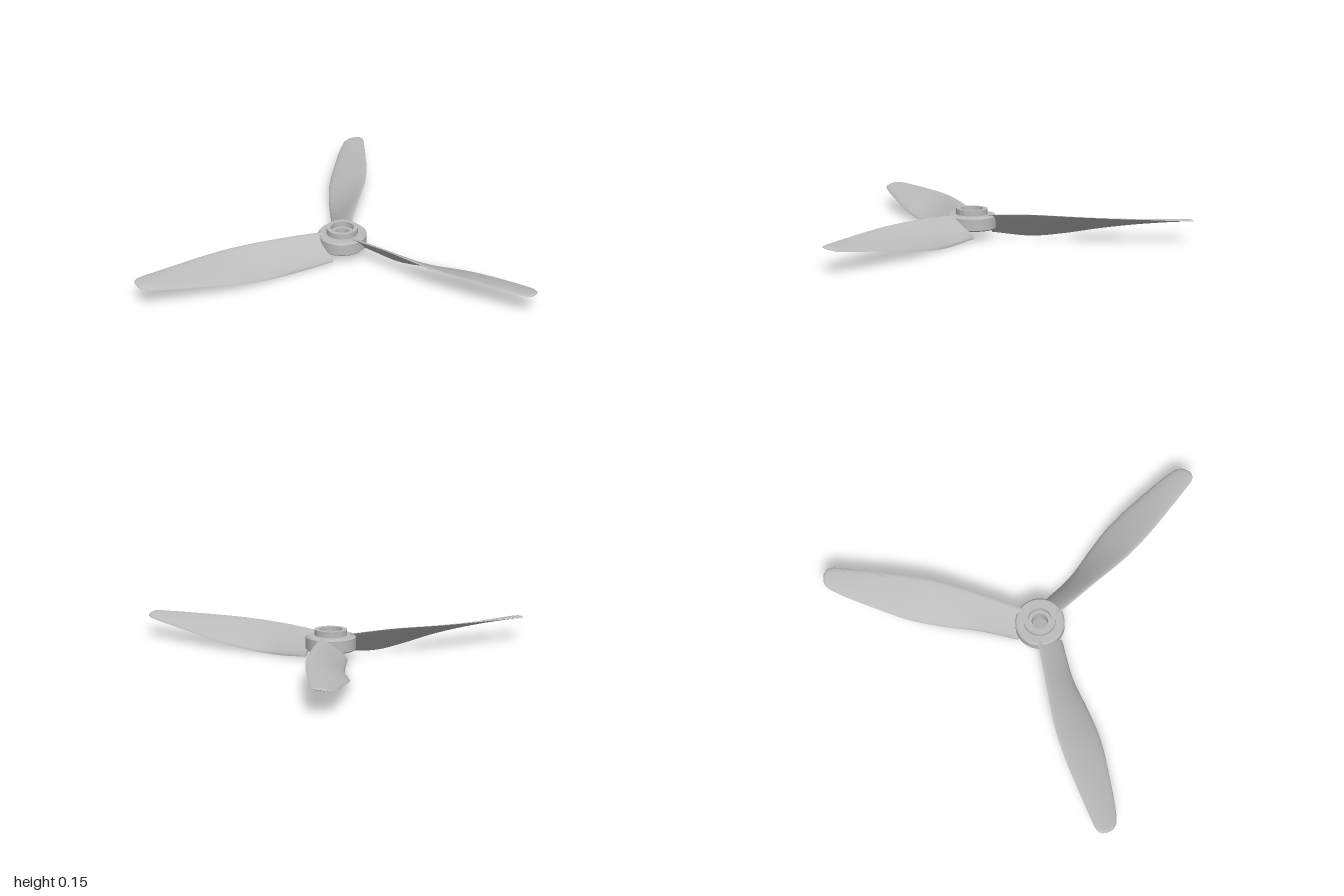
import * as THREE from 'three';
import { toCreasedNormals } from 'three/addons/utils/BufferGeometryUtils.js';

const V = (x, y, z) => new THREE.Vector3(x, y, z);

// Blade lofted from cambered sections between a high front edge and a low rear edge
function bladeGeometry() {
  const front = new THREE.CatmullRomCurve3([
    V(0.095, 0.128, 0.035), V(0.32, 0.137, 0.04), V(0.57, 0.135, 0.045), V(0.74, 0.131, 0.029),
    V(0.93, 0.126, -0.004), V(1.06, 0.122, -0.029), V(1.115, 0.12, -0.042), V(1.138, 0.119, -0.058), V(1.146, 0.117, -0.088)]);
  const rear = new THREE.CatmullRomCurve3([
    V(0.09, 0.015, -0.095), V(0.3, 0.001, -0.106), V(0.47, 0.015, -0.142), V(0.65, 0.043, -0.17),
    V(0.83, 0.07, -0.171), V(1.03, 0.094, -0.161), V(1.1, 0.103, -0.15), V(1.13, 0.108, -0.13), V(1.146, 0.117, -0.09)]);
  const rows = 48, ring = 24, pos = [], index = [];
  for (let i = 0; i <= rows; i++) {
    const s = i / rows, a = front.getPoint(s), b = rear.getPoint(s);
    const chord = b.clone().sub(a);
    const up = V(0, -chord.z, chord.y).normalize();
    const thick = Math.min(0.016 - 0.007 * s, chord.length() * 0.12);
    for (let j = 0; j < ring; j++) {
      const t = (j / ring) * Math.PI * 2, h = Math.sin(t);
      const p = a.clone().addScaledVector(chord, (1 - Math.cos(t)) / 2)
        .addScaledVector(up, h > 0 ? h * thick : h * thick * 0.2);
      pos.push(p.x, p.y, p.z);
    }
  }
  for (let i = 0; i < rows; i++) for (let j = 0; j < ring; j++) {
    const k = (j + 1) % ring, a = i * ring, b = a + ring;
    index.push(a + j, b + j, a + k, b + j, b + k, a + k);
  }
  // root and tip caps
  const end = rows * ring;
  for (let j = 1; j < ring - 1; j++) index.push(0, j, j + 1, end, end + j + 1, end + j);
  const g = new THREE.BufferGeometry();
  g.setAttribute('position', new THREE.Float32BufferAttribute(pos, 3));
  g.setIndex(index);
  return toCreasedNormals(g, 0.8);
}

export function createModel() {
  const model = new THREE.Group();
  model.name = 'propeller';
  const grey = new THREE.MeshStandardMaterial({ color: 0xbcbcbc });
  grey.name = 'light grey';

  const rotor = new THREE.Group();
  rotor.name = 'rotor';
  rotor.position.set(-0.235, 0, -0.045);
  model.add(rotor);

  // Hub with raised collar and stepped bore
  const profile = [[0.042, 0.05], [0.121, 0.05], [0.127, 0.056], [0.127, 0.116], [0.119, 0.125], [0.082, 0.125],
    [0.082, 0.155], [0.06, 0.155], [0.06, 0.125], [0.042, 0.125], [0.042, 0.05]];
  const hub = new THREE.Mesh(
    toCreasedNormals(new THREE.LatheGeometry(profile.map(p => new THREE.Vector2(...p)), 64), 0.5), grey);
  hub.name = 'hub';
  rotor.add(hub);

  // Three equal blades
  const geometry = bladeGeometry();
  for (let i = 0; i < 3; i++) {
    const blade = new THREE.Mesh(geometry, grey);
    blade.name = 'blade' + (i + 1);
    blade.rotation.y = (i * Math.PI * 2) / 3;
    rotor.add(blade);
  }
  return model;
}
